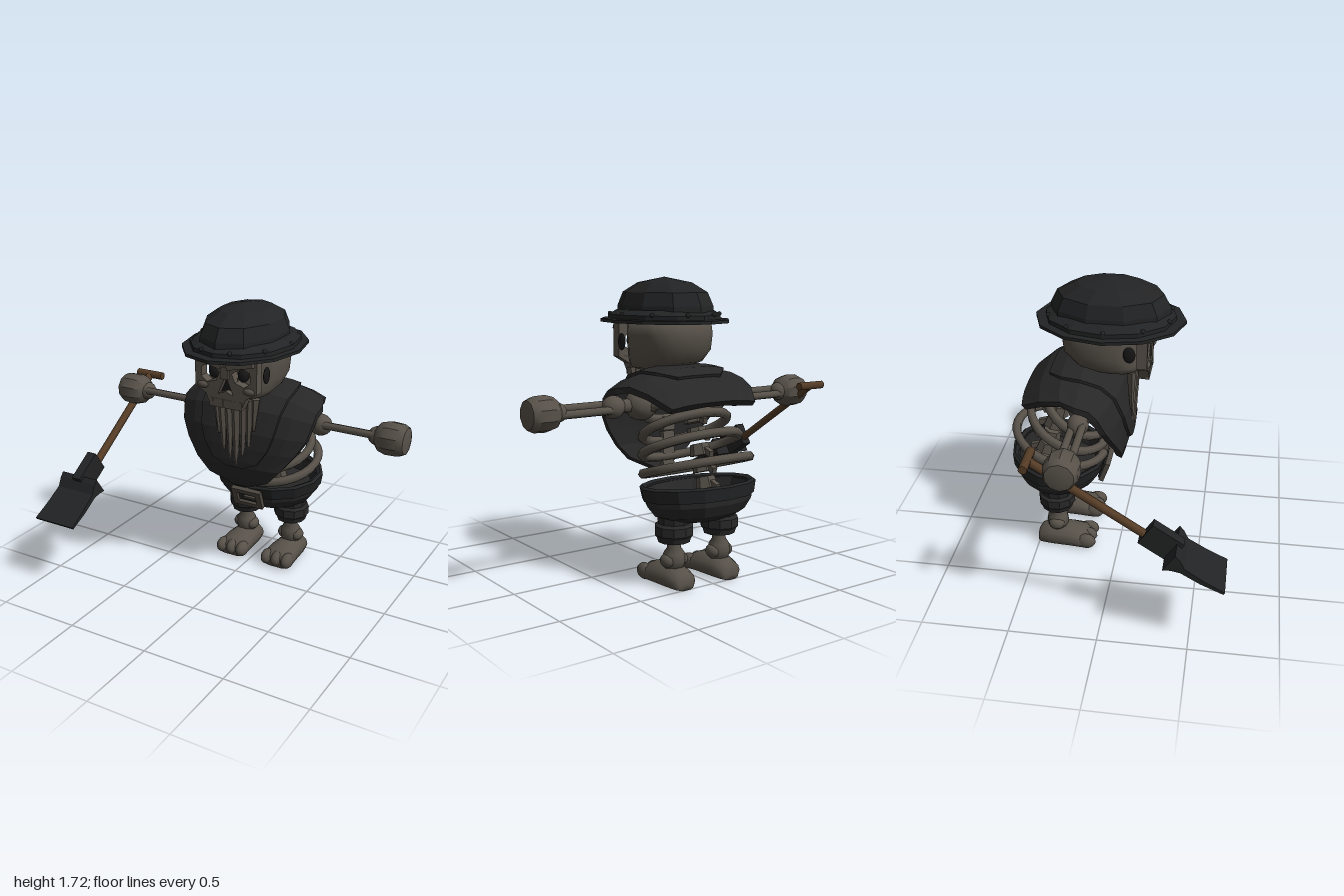
import * as THREE from 'three';
import { toCreasedNormals } from 'three/addons/utils/BufferGeometryUtils.js';

const V = (x, y, z) => new THREE.Vector3(x, y, z);
const mat = (name, color) => Object.assign(new THREE.MeshStandardMaterial({ color }), { name });

// faceted normals
function flat(g) {
  const f = g.index ? g.toNonIndexed() : g;
  f.computeVertexNormals();
  return f;
}

// closed solid through rings of equal point count, wound outwards
function loft(rings) {
  const n = rings[0].length, pts = rings.flat(), idx = [];
  for (let r = 0; r < rings.length - 1; r++) for (let i = 0; i < n; i++) {
    const j = (i + 1) % n, a = r * n + i, b = r * n + j;
    idx.push(a, b, b + n, a, b + n, a + n);
  }
  [0, rings.length - 1].forEach((r, end) => {
    const c = V(0, 0, 0);
    rings[r].forEach(p => c.addScaledVector(p, 1 / n));
    pts.push(c);
    for (let i = 0; i < n; i++) {
      const a = r * n + i, b = r * n + (i + 1) % n;
      idx.push(...(end ? [a, b, pts.length - 1] : [b, a, pts.length - 1]));
    }
  });
  let volume = 0;
  for (let i = 0; i < idx.length; i += 3) {
    volume += pts[idx[i]].dot(V(0, 0, 0).crossVectors(pts[idx[i + 1]], pts[idx[i + 2]]));
  }
  if (volume < 0) idx.reverse();
  const g = new THREE.BufferGeometry().setFromPoints(pts);
  g.setIndex(idx);
  g.computeVertexNormals();
  return g;
}

function ring(n, fn) {
  return Array.from({ length: n }, (_, i) => fn(Math.cos(i / n * Math.PI * 2), Math.sin(i / n * Math.PI * 2)));
}

// arched sheet over the shoulders; rows are [z, y, halfWidth]
function drape(rows, lift, thick) {
  const cols = 9;
  return loft(rows.map(([z, y, w], r) => {
    const p = rows[Math.max(r - 1, 0)], q = rows[Math.min(r + 1, rows.length - 1)];
    const len = Math.hypot(q[0] - p[0], q[1] - p[1]);
    const nz = -(q[1] - p[1]) / len, ny = (q[0] - p[0]) / len;
    const at = (k, off) => {
      const x = w * (2 * k / (cols - 1) - 1);
      const d = 0.095 * Math.pow(Math.abs(x) / 0.435, 3) + off;
      return V(x, y + ny * d, z + nz * d);
    };
    const out = [];
    for (let k = 0; k < cols; k++) out.push(at(k, -lift));
    for (let k = cols - 1; k >= 0; k--) out.push(at(k, thick));
    return out;
  }));
}

export function createModel() {
  const cloth = mat('dark cloth', 0x272727), iron = mat('dark iron', 0x222324);
  const bone = mat('old bone', 0x575149), wood = mat('wood', 0x553c26);
  const black = mat('black', 0x171717), brass = mat('dull buckle', 0x4d4740);
  const model = new THREE.Group(), body = new THREE.Group();
  model.name = 'skeletonMiner';
  body.name = 'figure';
  body.position.x = 0.03;
  model.add(body);

  const add = (name, g, m, x = 0, y = 0, z = 0, parent = body) => {
    const mesh = new THREE.Mesh(g, m);
    mesh.name = name;
    mesh.position.set(x, y, z);
    parent.add(mesh);
    return mesh;
  };
  const ball = (rx, ry, rz) => new THREE.SphereGeometry(1, 12, 9).scale(rx, ry, rz);
  const box = (x, y, z) => new THREE.BoxGeometry(x, y, z);
  const lathe = (pts, n, sx, sz) =>
    new THREE.LatheGeometry(pts.map(p => new THREE.Vector2(...p)), n).scale(sx, 1, sz);

  // helmet
  const hz = -0.068;
  add('helmetBrim', flat(lathe([[0, 1.466], [1, 1.466], [1, 1.484], [0, 1.5]], 12, 0.345, 0.432)), iron, 0, 0, hz);
  add('helmetBand', flat(lathe([[0, 1.485], [1, 1.485], [1, 1.51], [0.84, 1.538], [0, 1.54]], 12, 0.305, 0.375)), iron, 0, 0, hz);
  add('helmetDome', flat(lathe([[0, 1.52], [1, 1.52], [0.99, 1.56], [0.88, 1.635], [0.56, 1.69], [0, 1.722]], 10, 0.24, 0.345)), iron, 0, 0, hz);
  for (let i = 0; i < 10; i++) {
    const a = (i + 0.5) / 10 * Math.PI * 2;
    add('rivet', ball(0.013, 0.013, 0.013), iron, Math.sin(a) * 0.292, 1.513, hz + Math.cos(a) * 0.36);
  }

  // skull: [y, front z, back z, half width]
  const skull = [[1.185, 0.1, -0.06, 0.1], [1.205, 0.12, -0.18, 0.17], [1.24, 0.12, -0.28, 0.2],
    [1.31, 0.11, -0.34, 0.225], [1.4, 0.11, -0.35, 0.232], [1.48, 0.12, -0.34, 0.225]];
  add('skull', loft(skull.map(([y, f, b, w]) => ring(18, (c, s) =>
    V(Math.sign(c) * Math.pow(Math.abs(c), 0.8) * w, y, (f + b) / 2 + Math.sign(s) * Math.pow(Math.abs(s), 0.8) * (f - b) / 2)))), bone);

  // face plate with eye and nose openings
  const poly = pts => pts.map(p => new THREE.Vector2(...p));
  const face = new THREE.Shape(poly([[-0.1, 1.15], [0.1, 1.15], [0.13, 1.22], [0.2, 1.26], [0.2, 1.47], [-0.2, 1.47], [-0.2, 1.26], [-0.13, 1.22]]));
  for (const s of [-1, 1]) {
    face.holes.push(new THREE.Path(poly([[0.04, 1.36], [0.06, 1.31], [0.12, 1.29], [0.16, 1.32], [0.155, 1.38], [0.1, 1.4]].map(([x, y]) => [x * s, y]))));
  }
  face.holes.push(new THREE.Path(poly([[-0.05, 1.23], [0, 1.25], [0.05, 1.23], [0.01, 1.32], [-0.01, 1.32]])));
  add('face', new THREE.ExtrudeGeometry(face, { depth: 0.06, bevelEnabled: false }), bone, 0, 0, 0.105);
  add('noseHollow', box(0.12, 0.1, 0.006), black, 0, 1.275, 0.125);
  add('browBridge', box(0.05, 0.07, 0.04), bone, 0, 1.36, 0.16);
  for (const s of [-1, 1]) {
    add('eye', ball(0.034, 0.042, 0.03), black, 0.095 * s, 1.35, 0.125);
    add('brow', box(0.17, 0.045, 0.055), bone, 0.1 * s, 1.425, 0.165).rotation.z = 0.22 * s;
    add('cheekbone', ball(0.05, 0.028, 0.04), bone, 0.15 * s, 1.27, 0.14);
    add('templeHollow', ball(0.012, 0.05, 0.035), black, 0.208 * s, 1.35, 0.065);
  }
  for (let i = -3; i <= 3; i++) add('tooth', box(0.026, 0.05, 0.025), bone, i * 0.031, 1.175, 0.155);

  // beard of hanging tapered strands: [x, top, bottom, width]
  for (const [x, top, bottom, w] of [[-0.11, 1.2, 0.95, 0.035], [-0.075, 1.19, 0.85, 0.04], [-0.03, 1.18, 0.81, 0.042],
    [0.015, 1.18, 0.77, 0.045], [0.06, 1.18, 0.84, 0.042], [0.1, 1.19, 0.9, 0.04], [0.135, 1.2, 1.0, 0.035]]) {
    const g = new THREE.CylinderGeometry(w, w * 0.3, top - bottom, 5).scale(0.85, 1, 0.8);
    add('beardStrand', flat(g), bone, x, (top + bottom) / 2, 0.065).rotation.z = -x * 0.5;
  }
  add('neck', new THREE.CylinderGeometry(0.07, 0.08, 0.2, 10), bone, 0, 1.13, -0.15);

  // shoulder cape and its folded cowl
  add('cape', flat(drape([[-0.02, 0.59, 0.05], [0.03, 0.66, 0.2], [0.055, 0.75, 0.28], [0.055, 0.86, 0.36], [0.045, 0.97, 0.415],
    [0, 1.1, 0.435], [-0.08, 1.18, 0.435], [-0.2, 1.215, 0.435], [-0.32, 1.205, 0.4], [-0.45, 1.145, 0.36], [-0.56, 1.05, 0.29]], 0, 0.035)), cloth);
  add('cowl', flat(drape([[0.056, 0.75, 0.06], [0.058, 0.79, 0.15], [0.055, 0.88, 0.21], [0.045, 0.97, 0.24], [0, 1.1, 0.26],
    [-0.08, 1.18, 0.27], [-0.2, 1.215, 0.27], [-0.32, 1.205, 0.24], [-0.4, 1.17, 0.15]], 0.015, 0.01)), cloth);

  // rib hoops: [front z, front y, back z, back y, half width]
  for (const [fz, fy, bz, by, w] of [[-0.08, 0.9, -0.37, 1.07, 0.23], [-0.09, 0.77, -0.45, 0.98, 0.27],
    [-0.1, 0.68, -0.55, 0.88, 0.3], [-0.11, 0.59, -0.645, 0.75, 0.32]]) {
    const pts = ring(20, (c, s) => V(c * w, (fy + by) / 2 + s * (fy - by) / 2, (fz + bz) / 2 + s * (fz - bz) / 2));
    add('rib', new THREE.TubeGeometry(new THREE.CatmullRomCurve3(pts, true), 32, 0.028, 6, true), bone);
  }
  // spine and breastbone
  for (let i = 0; i < 8; i++) {
    const t = i / 7, y = 0.5 + t * 0.62, z = -0.5 + t * 0.2;
    add('vertebra', flat(new THREE.CylinderGeometry(0.055, 0.065, 0.065, 7)), bone, 0, y, z).rotation.x = 0.3;
    add('spinalProcess', box(0.03, 0.035, 0.08), bone, 0, y, z - 0.06).rotation.x = -0.3;
  }
  for (let i = 0; i < 4; i++) add('breastbone', box(0.08, 0.08, 0.035), bone, 0, 0.62 + i * 0.085, -0.1).rotation.x = 0.15;

  // hollow breeches with a belt rim and buckle
  const breeches = new THREE.Group();
  breeches.name = 'breeches';
  breeches.position.set(0, 0.56, -0.39);
  breeches.rotation.x = 0.09;
  body.add(breeches);
  add('seat', flat(lathe([[0, -0.2], [0.5, -0.19], [0.8, -0.15], [0.93, -0.09], [0.97, 0], [0.88, 0], [0.8, -0.08], [0, -0.1]], 14, 0.345, 0.285)), cloth, 0, 0, 0, breeches);
  add('belt', flat(lathe([[0.9, -0.05], [0.98, -0.06], [1.02, 0.01], [0.97, 0.022], [0.9, 0.01], [0.9, -0.05]], 14, 0.345, 0.287)), iron, 0, 0, 0, breeches);
  const buckle = new THREE.Shape(poly([[-0.1, -0.065], [0.1, -0.065], [0.1, 0.065], [-0.1, 0.065]]));
  buckle.holes.push(new THREE.Path(poly([[-0.065, -0.035], [-0.065, 0.035], [0.065, 0.035], [0.065, -0.035]])));
  add('buckleFrame', new THREE.ExtrudeGeometry(buckle, { depth: 0.03, bevelEnabled: false }), brass, 0, 0.485, -0.115).rotation.x = 0.35;
  add('buckleBack', box(0.18, 0.11, 0.02), iron, 0, 0.485, -0.115).rotation.x = 0.35;
  add('buckleTongue', box(0.08, 0.018, 0.02), brass, 0.02, 0.485, -0.095).rotation.x = 0.35;

  // mirrored limbs
  for (const s of [-1, 1]) {
    const leg = new THREE.Group();
    leg.name = s > 0 ? 'leftLeg' : 'rightLeg';
    leg.position.set(0.163 * s, 0, -0.385);
    body.add(leg);
    add('breechesLeg', flat(lathe([[0, 0.258], [0.092, 0.258], [0.1, 0.285], [0.112, 0.3], [0.112, 0.35], [0.094, 0.365], [0.1, 0.44], [0, 0.46]], 10, 1, 1)), cloth, 0, 0, 0, leg);
    add('shin', lathe([[0, 0.08], [0.055, 0.1], [0.068, 0.15], [0.06, 0.19], [0.04, 0.22], [0.042, 0.29]], 12, 1, 1), bone, 0, 0, 0, leg);
    for (const k of [-1, 1]) add('ankleKnob', ball(0.04, 0.04, 0.05), bone, 0.045 * k, 0.15, 0, leg);
    const foot = [[-0.12, 0.05, 0.07], [-0.1, 0.075, 0.1], [-0.03, 0.09, 0.125], [0.08, 0.098, 0.125], [0.17, 0.105, 0.105], [0.215, 0.09, 0.07]];
    add('foot', loft(foot.map(([z, w, h]) => ring(12, (c, n) => V(c * w, Math.max(0, h * (0.4 + 0.6 * n)), z)))), bone, 0, 0, 0, leg);
    for (const k of [-1, 0, 1]) add('toe', ball(0.038, 0.048, 0.06), bone, 0.07 * k, 0.048, 0.187, leg);

    const arm = new THREE.Group();
    arm.name = s > 0 ? 'leftArm' : 'rightArm';
    arm.position.set(0, 1.015, -0.19);
    body.add(arm);
    add('shoulder', ball(0.1, 0.09, 0.09), bone, 0.25 * s, 0, 0, arm);
    add('upperArm', new THREE.CylinderGeometry(0.04, 0.04, 0.2, 8).rotateZ(Math.PI / 2), bone, 0.35 * s, 0, 0, arm);
    add('elbow', ball(0.07, 0.065, 0.062), bone, 0.435 * s, 0, 0, arm);
    for (const k of [-1, 1]) {
      add('forearmBone', new THREE.CylinderGeometry(0.023, 0.023, 0.36, 8).rotateZ(Math.PI / 2), bone, 0.63 * s, 0.012 * k, 0.032 * k, arm);
    }
    add('wrist', ball(0.055, 0.055, 0.06), bone, 0.79 * s, 0, 0, arm);
    const fist = loft([[0.785, 0.055], [0.81, 0.085], [0.86, 0.1], [0.93, 0.097], [0.965, 0.08], [0.972, 0.05]]
      .map(([x, r]) => ring(10, (c, n) => V(x * s, c * r, n * r))));
    add('fist', toCreasedNormals(fist, 0.6), bone, 0, 0, 0, arm);
  }

  // shovel, shaft along its own z
  const shovel = new THREE.Group();
  shovel.name = 'shovel';
  shovel.position.set(-0.86, 1.06, -0.37);
  shovel.rotation.x = 0.584;
  model.add(shovel);
  add('shaft', new THREE.CylinderGeometry(0.024, 0.024, 0.76, 8).rotateX(Math.PI / 2), wood, 0, 0, 0.38, shovel);
  add('grip', new THREE.CylinderGeometry(0.025, 0.025, 0.19, 8).rotateZ(Math.PI / 2), wood, 0, 0, 0, shovel);
  add('socket', box(0.06, 0.145, 0.2), iron, 0, 0.02, 0.83, shovel);
  const blade = [[0.895, 0.13, -0.045, 0.075], [0.93, 0.13, -0.02, 0.065], [0.98, 0.13, 0, 0.035], [1.1, 0.135, 0.01, 0.037], [1.23, 0.14, 0.035, 0.05]];
  add('blade', flat(loft(blade.map(([z, w, lo, hi]) => [V(-w, lo, z), V(w, lo, z), V(w, hi, z), V(-w, hi, z)]))), iron, 0, 0, 0, shovel);

  return model;
}
